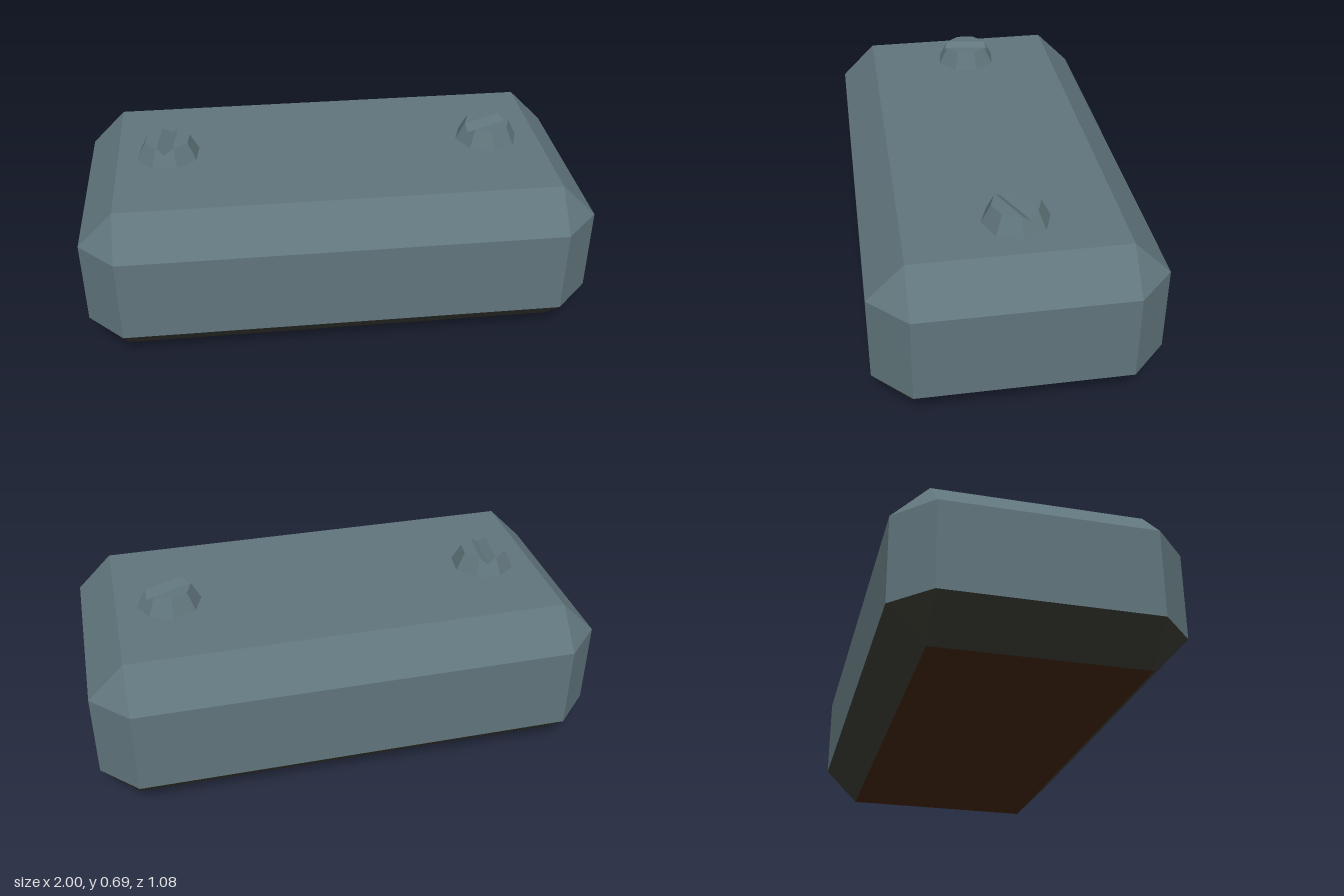
import * as THREE from 'three';

const paint = (name, color) => {
  const m = new THREE.MeshStandardMaterial({ color, flatShading: true });
  m.name = name;
  return m;
};

// Builds a faceted mesh from polygons, each fanned from its first corner and turned away from the centre.
function facets(name, polygons, centre, material) {
  const points = [];
  for (const poly of polygons) {
    for (let i = 1; i < poly.length - 1; i++) {
      const [a, b, c] = [poly[0], poly[i], poly[i + 1]].map(p => new THREE.Vector3(...p));
      const normal = b.clone().sub(a).cross(c.clone().sub(a));
      const outward = normal.dot(a.clone().add(b).add(c).divideScalar(3).sub(centre)) > 0;
      points.push(...(outward ? [a, b, c] : [a, c, b]));
    }
  }
  const geometry = new THREE.BufferGeometry().setFromPoints(points);
  geometry.computeVertexNormals();
  const mesh = new THREE.Mesh(geometry, material);
  mesh.name = name;
  return mesh;
}

// Bevelled case dimensions
const W = 1, D = 0.54, H = 0.622, B = 0.14;

// Four-cornered face of the case
const plate = y => [[-1, -1], [1, -1], [1, 1], [-1, 1]].map(([sx, sz]) => [sx * (W - B), y, sz * (D - B)]);

// Octagonal outline of the case; even edges are corner chamfers
const outline = y => [[1, 1], [-1, 1], [-1, -1], [1, -1]].flatMap(([sx, sz]) => {
  const onSide = [sx * W, y, sz * (D - B)], onFront = [sx * (W - B), y, sz * D];
  return sx * sz > 0 ? [onSide, onFront] : [onFront, onSide];
});

// Sloping bevels and corner triangles between an outline and a plate
function bevels(yOutline, yPlate) {
  const ring = outline(yOutline);
  const inner = p => [Math.sign(p[0]) * (W - B), yPlate, Math.sign(p[2]) * (D - B)];
  return ring.map((p, i) => {
    const q = ring[(i + 1) % 8];
    return i % 2 ? [p, q, inner(q), inner(p)] : [p, q, inner(p)];
  });
}

// Octagonal tapered screw head with a V slot running along x
function screwHead(material) {
  const h = 0.07, rBottom = 0.128, rTop = 0.092, half = 0.032, depth = 0.024;
  const ring = (r, y) => Array.from({ length: 8 }, (_, i) => {
    const a = (i - 0.5) * Math.PI / 4;
    return [r * Math.cos(a), y, r * Math.sin(a)];
  });
  const low = ring(rBottom, 0), high = ring(rTop, h);
  const xTop = high[0][0], xValley = xTop + (low[0][0] - xTop) * depth / h;
  const rim = (sx, sz) => [sx * xTop, h, sz * half];
  const valley = sx => [sx * xValley, h - depth, 0];
  const polys = [];
  for (let i = 0; i < 8; i++) {
    const j = (i + 1) % 8;
    if (i % 4) {
      polys.push([low[i], low[j], high[j], high[i]]);
    } else {
      // notched end of the slot
      const sx = i ? -1 : 1;
      polys.push([valley(sx), rim(sx, -sx), high[i], low[i], low[j], high[j], rim(sx, sx)]);
    }
  }
  for (const s of [1, -1]) {
    const corners = s > 0 ? high.slice(1, 5) : [high[0], high[7], high[6], high[5]];
    polys.push([rim(1, s), ...corners, rim(-1, s)]);
    polys.push([valley(1), rim(1, s), rim(-1, s), valley(-1)]);
  }
  return facets('screwHead', polys, new THREE.Vector3(), material);
}

export function createModel() {
  const model = new THREE.Group();
  model.name = 'bevelledCase';
  const slate = paint('slateGrey', 0x60757c);
  const dark = paint('darkOlive', 0x3b3b33);
  const brown = paint('darkBrown', 0x42260f);
  const centre = new THREE.Vector3(0, H / 2, 0);

  // Upper shell: top, upper bevels and walls
  const lower = outline(B), upper = outline(H - B);
  const walls = lower.map((p, i) => [p, lower[(i + 1) % 8], upper[(i + 1) % 8], upper[i]]);
  model.add(facets('shell', [plate(H), ...bevels(H - B, H), ...walls], centre, slate));

  // Underside bevels and base
  model.add(facets('lowerBevels', bevels(B, 0), centre, dark));
  model.add(facets('base', [plate(0)], centre, brown));

  // Screws on the top, each turned differently
  for (const [name, x, degrees] of [['leftScrew', 0.65, 25], ['rightScrew', -0.657, 83]]) {
    const screw = screwHead(slate);
    screw.name = name;
    screw.position.set(x, H, -0.018);
    screw.rotation.y = THREE.MathUtils.degToRad(degrees);
    model.add(screw);
  }
  return model;
}
